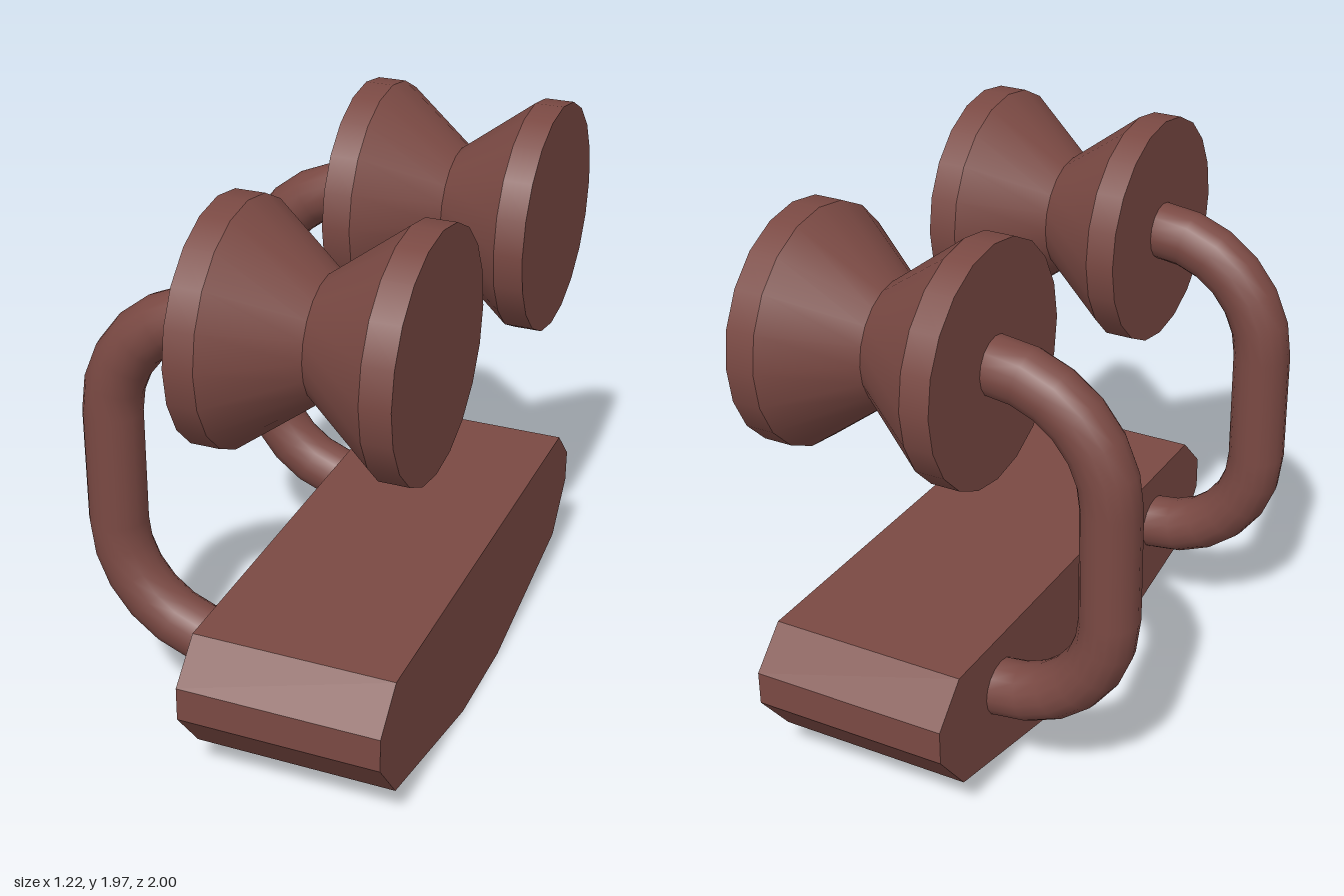
import * as THREE from 'three';

export function createModel() {
  const model = new THREE.Group();
  model.name = 'rollerBracket';
  const brown = new THREE.MeshStandardMaterial({ color: 0x7a4943 });
  brown.name = 'reddish brown';

  const add = (parent, name, geometry, x = 0, y = 0, z = 0) => {
    const mesh = new THREE.Mesh(geometry, brown);
    mesh.name = name;
    mesh.position.set(x, y, z);
    parent.add(mesh);
  };

  // Faceted base block, extruded across x from its side profile
  const half = [[0.19, 0], [0.86, 0.14], [1, 0.315], [1, 0.435], [0.87, 0.565]];
  const outline = [...half, ...half.map(([z, y]) => [-z, y]).reverse()];
  const profile = new THREE.Shape(outline.map(([z, y]) => new THREE.Vector2(z, y)));
  const base = new THREE.ExtrudeGeometry(profile, { depth: 0.7, bevelEnabled: false });
  base.rotateY(Math.PI / 2);
  add(model, 'base', base, -0.11);

  // Waisted roller sections: x start, x end, start radius, end radius, open ends
  const sections = [
    ['innerRim', -0.11, -0.01, 0.4, 0.4, false],
    ['innerCone', -0.01, 0.25, 0.4, 0.205, true],
    ['outerCone', 0.25, 0.507, 0.205, 0.4, true],
    ['outerRim', 0.507, 0.607, 0.4, 0.4, false],
  ];
  const bend = 0.4, pipe = 0.1, low = 0.765, high = 1.165;

  for (const z of [0.6, -0.6]) {
    const roller = new THREE.Group();
    roller.name = z > 0 ? 'frontRoller' : 'backRoller';
    roller.position.set(0, 1.565, z);
    for (const [name, x0, x1, r0, r1, open] of sections) {
      const geometry = new THREE.CylinderGeometry(r1, r0, x1 - x0, 20, 1, open);
      geometry.rotateZ(-Math.PI / 2);
      add(roller, name, geometry, (x0 + x1) / 2);
    }

    // C-shaped pipe joining the base to the roller
    const arm = new THREE.Group();
    arm.name = z > 0 ? 'frontArm' : 'backArm';
    arm.position.set(-0.11, 0, z);
    const elbow = () => new THREE.TorusGeometry(bend, pipe, 16, 6, Math.PI / 2);
    add(arm, 'upperElbow', elbow().rotateZ(Math.PI / 2), 0, high);
    add(arm, 'lowerElbow', elbow().rotateZ(Math.PI), 0, low);
    const upright = new THREE.CylinderGeometry(pipe, pipe, high - low, 16, 1, true);
    add(arm, 'upright', upright, -bend, (high + low) / 2);
    model.add(roller, arm);
  }
  return model;
}
